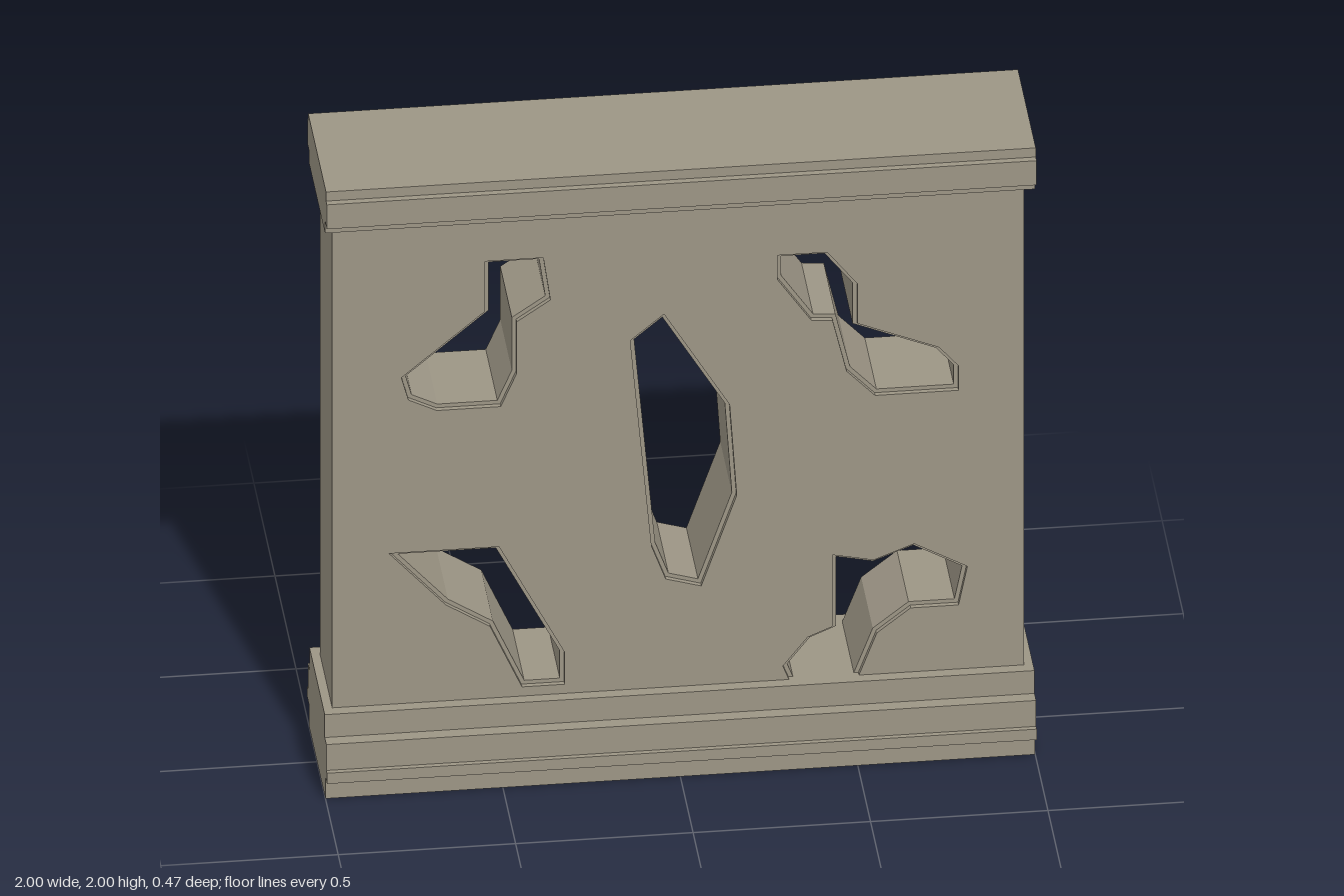
import * as THREE from 'three';

const stone = new THREE.MeshStandardMaterial({ color: 0x9c9585 });
stone.name = 'stone';

// Outlines of the openings, clockwise
const openings = [
  [[-0.545, 1.70], [-0.38, 1.70], [-0.36, 1.56], [-0.455, 1.495], [-0.455, 1.325], [-0.50, 1.22],
    [-0.68, 1.22], [-0.76, 1.26], [-0.78, 1.335], [-0.545, 1.535]],
  [[0.28, 1.66], [0.42, 1.66], [0.505, 1.55], [0.505, 1.42], [0.735, 1.325], [0.79, 1.26],
    [0.79, 1.18], [0.555, 1.18], [0.475, 1.265], [0.435, 1.435], [0.375, 1.44], [0.28, 1.58]],
  [[-0.04, 1.49], [0.145, 1.18], [0.165, 0.88], [0.065, 0.59], [-0.035, 0.62], [-0.075, 0.73], [-0.135, 1.41]],
  [[-0.815, 0.76], [-0.505, 0.76], [-0.32, 0.40], [-0.32, 0.295], [-0.44, 0.295], [-0.53, 0.50], [-0.655, 0.58]],
  [[0.295, 0.31], [0.365, 0.40], [0.435, 0.43], [0.435, 0.665], [0.55, 0.64], [0.665, 0.685], [0.815, 0.60],
    [0.79, 0.475], [0.655, 0.475], [0.56, 0.40], [0.485, 0.2], [0.337, 0.2]],
].map((pts) => pts.map(([x, y]) => new THREE.Vector2(x, y)));

// Shrinks a clockwise outline by d with mitred corners
function inset(pts, d) {
  const n = pts.length;
  const normal = (a, b) => new THREE.Vector2(b.y - a.y, a.x - b.x).normalize();
  return pts.map((p, i) => {
    const n1 = normal(pts[(i + n - 1) % n], p);
    const n2 = normal(p, pts[(i + 1) % n]);
    return n1.clone().add(n2).multiplyScalar(d / (1 + n1.dot(n2))).add(p);
  });
}

// A pierced slab of the wall between two depths
function slab(name, holes, z0, z1) {
  const shape = new THREE.Shape([[-0.975, 0.15], [0.975, 0.15], [0.975, 1.9], [-0.975, 1.9]]
    .map(([x, y]) => new THREE.Vector2(x, y)));
  shape.holes = holes.map((h) => new THREE.Path(h));
  const geometry = new THREE.ExtrudeGeometry(shape, { depth: z1 - z0, bevelEnabled: false });
  geometry.translate(0, 0, z0);
  const mesh = new THREE.Mesh(geometry, stone);
  mesh.name = name;
  return mesh;
}

// A stepped moulding: [bottom, top, half depth] per step, run along x
function moulding(name, steps) {
  const side = steps.flatMap(([y0, y1, w]) => [[w, y0], [w, y1]]);
  const outline = [...side, ...side.slice().reverse().map(([w, y]) => [-w, y])];
  const shape = new THREE.Shape(outline.map(([z, y]) => new THREE.Vector2(z, y)));
  const geometry = new THREE.ExtrudeGeometry(shape, { depth: 2, bevelEnabled: false });
  geometry.translate(0, 0, -1).rotateY(Math.PI / 2);
  const mesh = new THREE.Mesh(geometry, stone);
  mesh.name = name;
  return mesh;
}

export function createModel() {
  const model = new THREE.Group();
  model.name = 'piercedWall';

  // Wall with a shallow rebate around each opening on the front
  model.add(
    slab('wallBody', openings.map((o) => inset(o, 0.012)), -0.143, 0.132),
    slab('wallFacing', openings, 0.132, 0.147),
  );

  // Plinth and coping
  model.add(
    moulding('base', [[0, 0.07, 0.198], [0.07, 0.105, 0.234], [0.105, 0.19, 0.219], [0.19, 0.265, 0.181]]),
    moulding('coping', [[1.85, 1.89, 0.187], [1.89, 1.97, 0.231], [1.97, 2, 0.211]]),
  );
  return model;
}
